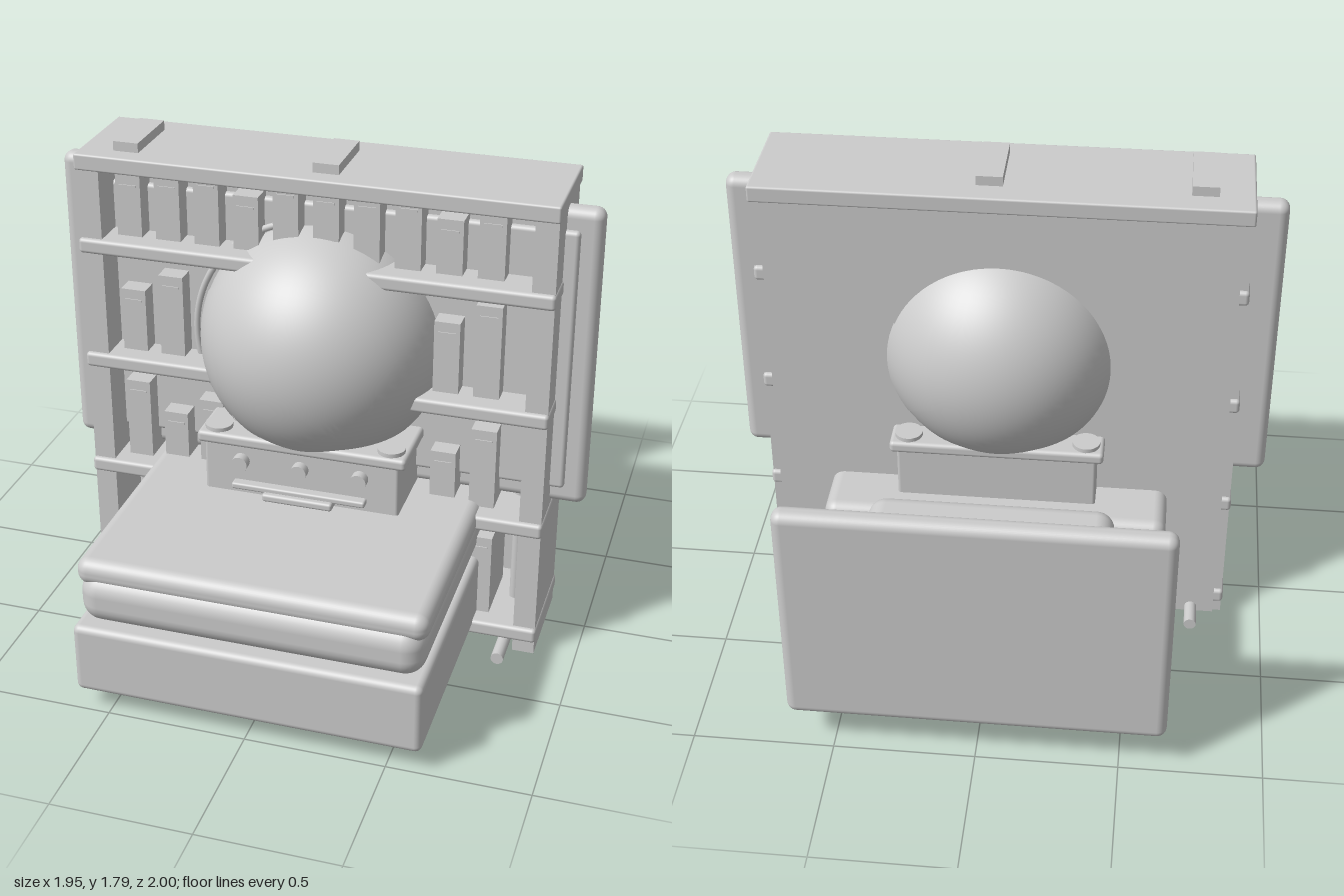
import * as THREE from 'three';
import { RoundedBoxGeometry } from 'three/addons/geometries/RoundedBoxGeometry.js';

const grey = new THREE.MeshStandardMaterial({ color: 0xcccccc });
const greyDouble = new THREE.MeshStandardMaterial({ color: 0xcccccc, side: THREE.DoubleSide });

function add(parent, name, geometry, x = 0, y = 0, z = 0, material = grey) {
  const mesh = new THREE.Mesh(geometry, material);
  mesh.name = name;
  mesh.position.set(x, y, z);
  parent.add(mesh);
  return mesh;
}

// Box given by its extents, with optional rounded edges
function box(parent, name, [x0, x1], [y0, y1], [z0, z1], radius = 0) {
  const size = [x1 - x0, y1 - y0, z1 - z0];
  const geometry = radius ? new RoundedBoxGeometry(...size, 4, radius) : new THREE.BoxGeometry(...size);
  return add(parent, name, geometry, (x0 + x1) / 2, (y0 + y1) / 2, (z0 + z1) / 2);
}

function rod(parent, name, radius, length, axis, x, y, z) {
  const geometry = new THREE.CylinderGeometry(radius, radius, length, 20);
  if (axis === 'x') geometry.rotateZ(Math.PI / 2);
  if (axis === 'z') geometry.rotateX(Math.PI / 2);
  return add(parent, name, geometry, x, y, z);
}

function group(parent, name) {
  const g = new THREE.Group();
  g.name = name;
  parent.add(g);
  return g;
}

// Raised land patch: a polygon drawn in the xy plane, laid on the sphere
function landGeometry(outline, radius) {
  const edge = [];
  outline.forEach(([x, y], i) => {
    const [u, v] = outline[(i + 1) % outline.length];
    for (let k = 0; k < 8; k++) edge.push([x + (u - x) * k / 8, y + (v - y) * k / 8]);
  });
  const cx = outline.reduce((s, p) => s + p[0], 0) / outline.length;
  const cy = outline.reduce((s, p) => s + p[1], 0) / outline.length;
  const rings = 10, n = edge.length, pos = [], nor = [], index = [];
  for (let r = 0; r <= rings; r++) {
    for (const [ex, ey] of edge) {
      const x = cx + (ex - cx) * r / rings, y = cy + (ey - cy) * r / rings;
      const d = new THREE.Vector3(x, y, Math.sqrt(Math.max(0, 0.2 - x * x - y * y))).normalize();
      nor.push(d.x, d.y, d.z);
      pos.push(d.x * radius, d.y * radius, d.z * radius);
    }
  }
  for (let r = 0; r < rings; r++) {
    for (let i = 0; i < n; i++) {
      const a = r * n + i, b = r * n + (i + 1) % n;
      index.push(a, a + n, b + n, a, b + n, b);
    }
  }
  const g = new THREE.BufferGeometry();
  g.setAttribute('position', new THREE.Float32BufferAttribute(pos, 3));
  g.setAttribute('normal', new THREE.Float32BufferAttribute(nor, 3));
  g.setIndex(index);
  return g;
}

function buildBed(root) {
  const bed = group(root, 'bed');
  box(bed, 'bedBase', [-0.62, 0.62], [0.08, 0.345], [-0.92, 1], 0.025);
  box(bed, 'mattress', [-0.61, 0.61], [0.34, 0.53], [-0.89, 0.97], 0.075);
  box(bed, 'blanket', [-0.62, 0.62], [0.48, 0.58], [-0.38, 0.95], 0.045);
  box(bed, 'pillow', [-0.44, 0.44], [0.525, 0.67], [-0.8, -0.38], 0.065);
  box(bed, 'headboard', [-0.66, 0.66], [0.15, 1.03], [-1, -0.92], 0.035);
  box(bed, 'headboardPanel', [-0.57, 0.57], [0.41, 0.95], [-0.93, -0.888], 0.015);
  box(bed, 'underPlate', [-0.53, 0.53], [0.05, 0.085], [-0.79, 0.9], 0.01);
  for (const x of [-0.48, 0.48]) {
    for (const z of [-0.71, 0.79]) rod(bed, 'bedFoot', 0.028, 0.05, 'y', x, 0.03, z);
  }
}

function buildBookcase(root) {
  const bookcase = group(root, 'bookcase');
  for (const s of [-1, 1]) {
    box(bookcase, 'sidePanel', s < 0 ? [-0.85, -0.77] : [0.77, 0.85], [0.005, 1.72], [-0.15, 0.225]);
    rod(bookcase, 'floorRail', 0.023, 0.6, 'z', s * 0.735, 0.03, 0.03);
    rod(bookcase, 'uprightPost', 0.02, 0.55, 'y', s * 0.735, 0.31, 0.03);
  }
  rod(bookcase, 'crossRail', 0.018, 1.47, 'x', 0, 0.03, 0.03);
  box(bookcase, 'backPanel', [-0.82, 0.82], [0.01, 1.72], [-0.167, -0.14]);
  box(bookcase, 'topBoard', [-0.855, 0.855], [1.705, 1.765], [-0.17, 0.24], 0.008);
  for (const y of [0.085, 0.53, 0.97, 1.42]) {
    box(bookcase, 'shelf', [-0.855, 0.855], [y - 0.028, y + 0.028], [-0.165, 0.242], 0.014);
  }

  // Books: centre x, bottom, top
  const books = group(root, 'books');
  const rows = [
    [1.45, [[-0.685, 1.68], [-0.54, 1.69], [-0.395, 1.71], [-0.25, 1.65], [-0.105, 1.71],
      [0.04, 1.7], [0.185, 1.7], [0.33, 1.71], [0.475, 1.65], [0.62, 1.69]]],
    [1, [[-0.685, 1.24], [-0.54, 1.31], [0.475, 1.27], [0.62, 1.35]]],
    [0.56, [[-0.685, 0.87], [-0.54, 0.76], [-0.4, 0.83], [0.475, 0.76], [0.62, 0.87]]],
    [0.11, [[-0.685, 0.32], [0.62, 0.43]]],
  ];
  for (const [base, row] of rows) {
    for (const [x, top] of row) {
      box(books, 'book', [x - 0.046, x + 0.046], [base, top], [-0.08, 0.17]);
      box(books, 'spineBand', [x - 0.032, x + 0.032], [top - 0.045, top - 0.037], [0.165, 0.174]);
    }
  }
  for (const x of [-0.685, 0.04]) box(books, 'topBook', [x - 0.046, x + 0.046], [1.76, 1.8], [-0.08, 0.17]);

  // Wide board set through the bookcase
  box(root, 'wideBoard', [-0.975, 0.975], [0.57, 1.7], [0, 0.08], 0.035);
  box(root, 'wideBoardPanel', [-0.9, 0.9], [0.64, 1.625], [0.06, 0.1], 0.015);
}

function buildGlobe(root) {
  // Stand with knobs, drawer and foot
  const stand = group(root, 'globeStand');
  box(stand, 'standBody', [-0.36, 0.36], [0.05, 0.79], [-0.27, 0.35], 0.012);
  box(stand, 'standTop', [-0.385, 0.385], [0.765, 0.81], [-0.28, 0.36], 0.015);
  for (const x of [-0.22, 0, 0.22]) rod(stand, 'knob', 0.03, 0.04, 'z', x, 0.71, 0.365);
  box(stand, 'tray', [-0.25, 0.245], [0.608, 0.632], [0.34, 0.385], 0.008);
  box(stand, 'trayLip', [-0.13, 0.13], [0.585, 0.615], [0.34, 0.405], 0.01);
  add(stand, 'standFoot', new THREE.CylinderGeometry(0.385, 0.36, 0.035, 48), 0, 0.024, 0.035);
  box(stand, 'footPlate', [-0.38, 0.38], [0.03, 0.06], [-0.28, 0.35], 0.01);
  for (const x of [-0.32, 0.32]) {
    for (const z of [-0.22, 0.3]) rod(stand, 'topPad', 0.05, 0.02, 'y', x, 0.815, z);
  }

  const globe = group(root, 'globe');
  globe.position.set(0, 1.1, 0.04);
  add(globe, 'sphere', new THREE.SphereGeometry(0.446, 64, 48));
  const patches = [
    [0, [[-0.1, 0.26], [-0.04, -0.04], [0.18, -0.25], [0.34, 0.08], [0.25, 0.26], [0.1, 0.28]]],
    [0, [[-0.05, 0.38], [0.06, 0.33], [0.22, 0.33], [0.12, 0.42], [0, 0.42]]],
    [-1.1, [[-0.2, 0.1], [-0.14, -0.2], [0.08, -0.28], [0.16, -0.05], [0.05, 0.25]]],
    [2.2, [[-0.18, 0.1], [0, -0.2], [0.2, -0.08], [0.14, 0.22]]],
  ];
  for (const [turn, outline] of patches) {
    add(globe, 'landPatch', landGeometry(outline, 0.449), 0, 0, 0, greyDouble).rotation.y = turn;
  }
  // Half-ring holder on one side
  const arc = new THREE.TorusGeometry(0.462, 0.012, 10, 48, 2.1);
  arc.rotateZ(1.88);
  add(globe, 'meridianArc', arc, 0, 0, 0.08);
}

export function createModel() {
  const model = new THREE.Group();
  model.name = 'bedroomFurniture';
  buildBed(model);
  buildBookcase(model);
  buildGlobe(model);
  return model;
}
